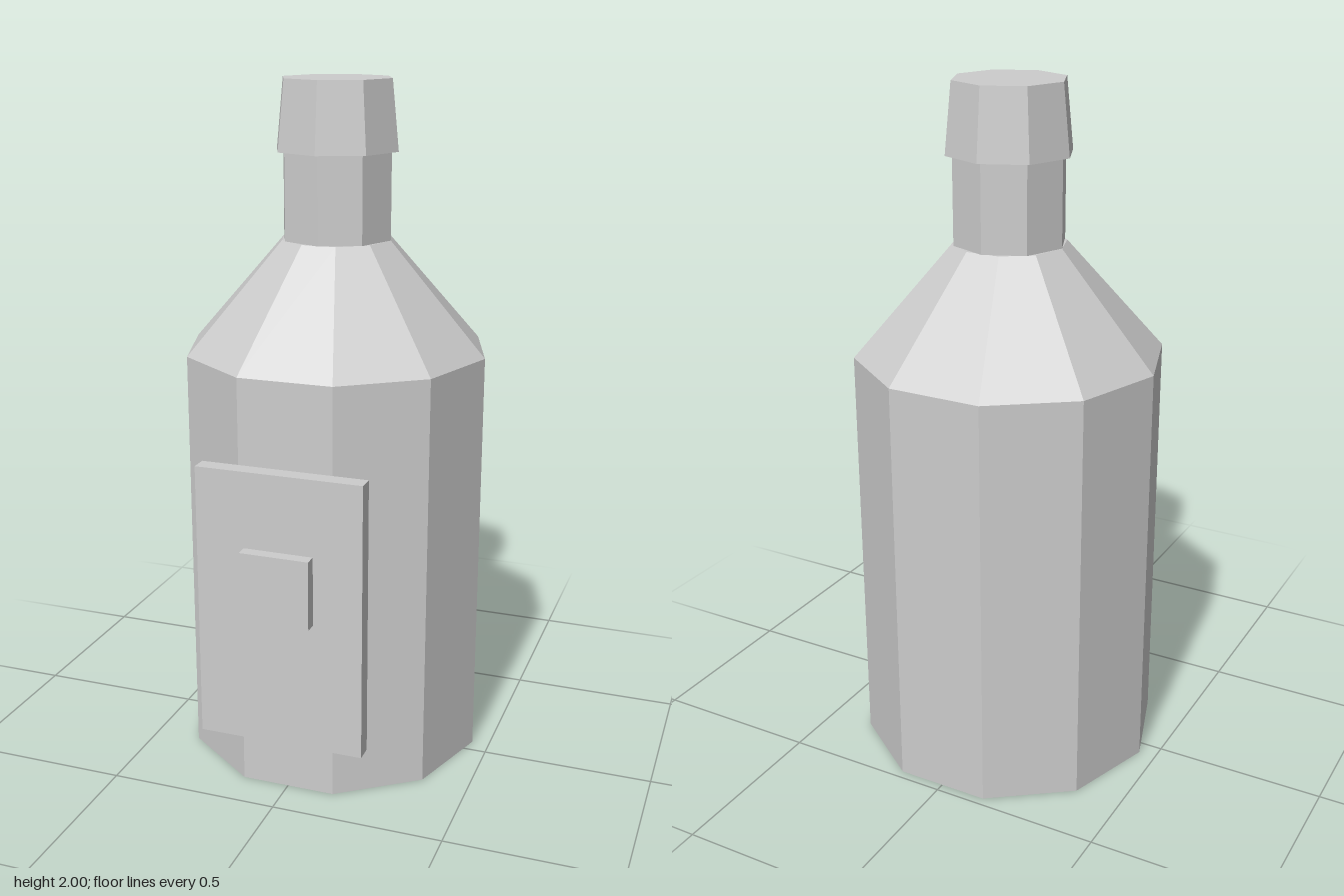
import * as THREE from 'three';

export function createModel() {
  const model = new THREE.Group();
  model.name = 'bottle';
  const grey = new THREE.MeshStandardMaterial({ color: 0xcccccc, flatShading: true });
  grey.name = 'light grey';
  const axisZ = -0.047; // the bottle axis sits behind centre because of the label

  const add = (name, geometry, x, y, z) => {
    const mesh = new THREE.Mesh(geometry, grey);
    mesh.name = name;
    mesh.position.set(x, y, z);
    model.add(mesh);
  };

  // Faceted ring between two heights; a corner always points along x
  const ring = (name, rTop, rBottom, y0, y1, sides, open = false) => {
    const start = Math.PI / 2 - Math.PI * 2 * Math.floor(sides / 4) / sides;
    const geometry = new THREE.CylinderGeometry(rTop, rBottom, y1 - y0, sides, 1, open, start);
    add(name, geometry, 0, (y0 + y1) / 2, axisZ);
  };
  ring('body', 0.448, 0.448, 0, 1.227, 10);
  ring('shoulder', 0.163, 0.448, 1.227, 1.55, 10);
  ring('neck', 0.163, 0.163, 1.55, 1.8, 8);
  ring('cap', 0.163, 0.183, 1.8, 2, 8);

  // Raised label plate and the small badge on its front
  const plate = (name, w, y0, y1, z0, z1) =>
    add(name, new THREE.BoxGeometry(w, y1 - y0, z1 - z0), 0, (y0 + y1) / 2, (z0 + z1) / 2);
  plate('label', 0.488, 0.17, 0.98, 0.386, 0.436);
  plate('labelBadge', 0.203, 0.555, 0.757, 0.436, 0.473);

  return model;
}
